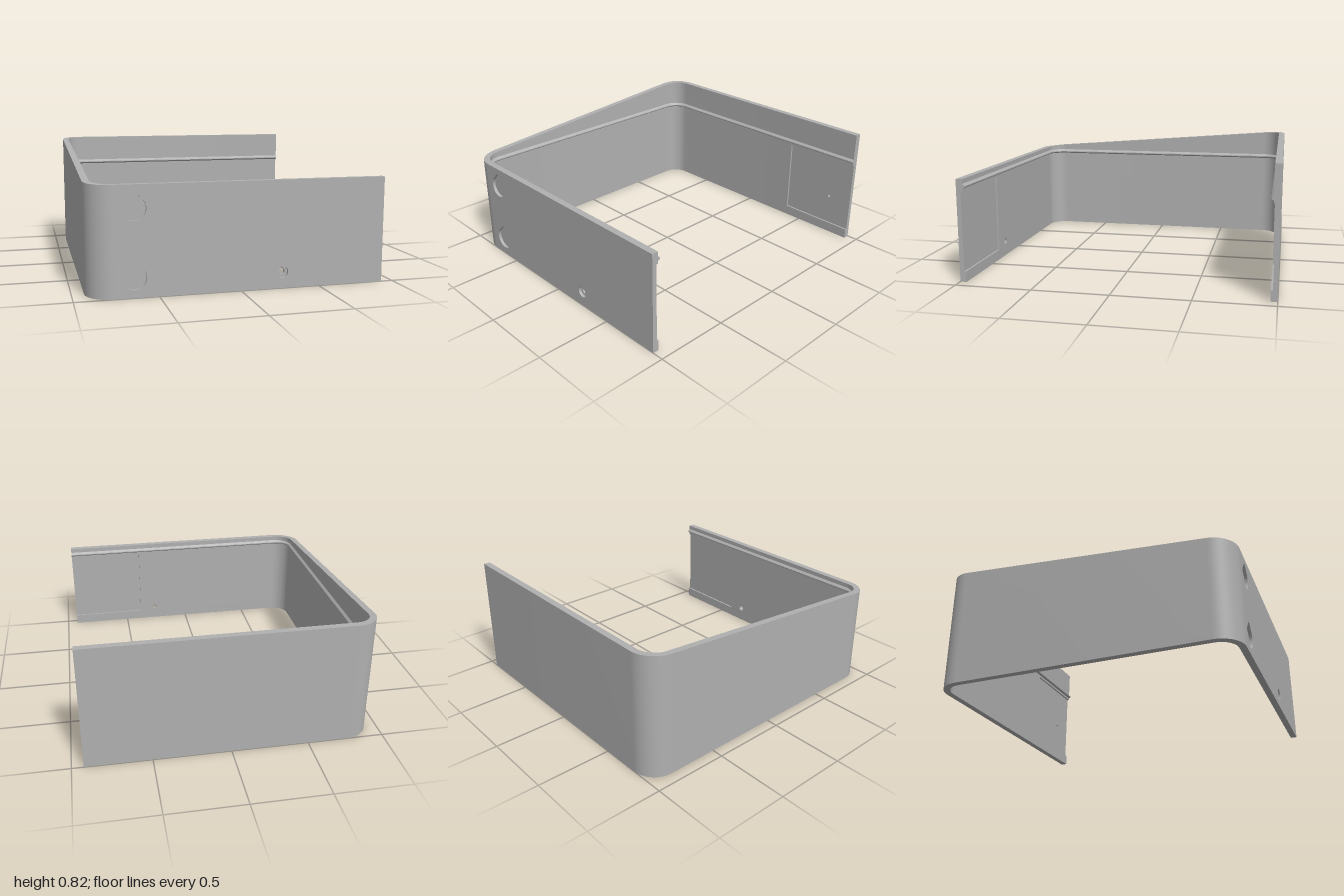
import * as THREE from 'three';
import { toCreasedNormals } from 'three/addons/utils/BufferGeometryUtils.js';

const X = 0.925, Z = 1, R = 0.16;            // half width, half depth, outer corner radius
const T = 0.043, TIP = 0.058, REC = 0.03;    // wall, ridge and recess depths from the outer face
const LOW = 0.667, HIGH = 0.822;             // rim heights at front and back
const PANEL_X = 0.38, PANEL_Y0 = 0.07, PANEL_Y1 = 0.59;

const rimY = (z) => LOW + (HIGH - LOW) * THREE.MathUtils.clamp((0.957 - z) / 1.914, 0, 1);

// Closed wall section as [depth, height]; a height of null means the sloping rim
const section = (r) => [
  [0, 0], [0, null], [T, null], [T, 0.637], [TIP, 0.623], [TIP, 0.616], [T, 0.606],
  [T, PANEL_Y1], [r, PANEL_Y1], [r, PANEL_Y0], [T, PANEL_Y0], [T, 0],
];
const OUTER_EDGE = 0, PANEL_EDGE = 8;

// Skins a grid of points (rows of Vector3), leaving out edges where skip(i, j) is true
function skin(rows, skip = () => false) {
  const pos = [];
  const tri = new THREE.Triangle();
  const add = (a, b, c) => {
    if (tri.set(a, b, c).getArea() > 1e-8) for (const p of [a, b, c]) pos.push(p.x, p.y, p.z);
  };
  for (let i = 0; i + 1 < rows.length; i++) {
    const n = rows[i].length;
    for (let j = 0; j < n; j++) {
      if (skip(i, j)) continue;
      const k = (j + 1) % n;
      add(rows[i][j], rows[i + 1][j], rows[i][k]);
      add(rows[i][k], rows[i + 1][j], rows[i + 1][k]);
    }
  }
  const g = new THREE.BufferGeometry();
  g.setAttribute('position', new THREE.Float32BufferAttribute(pos, 3));
  return toCreasedNormals(g, 0.5);
}

// Plan stations from the back open end, round the closed side, to the front open end
function stations() {
  const list = [];
  const straight = (z, x, r) => list.push({ x, z, nx: 0, nz: -Math.sign(z), r });
  straight(-Z, X, REC);
  straight(-Z, PANEL_X, REC);
  straight(-Z, PANEL_X, T);
  for (const side of [-1, 1]) {
    for (let i = 0; i <= 16; i++) {
      const a = (i / 16) * Math.PI / 2;
      const s = side < 0 ? Math.sin(a) : Math.cos(a);
      const c = side < 0 ? Math.cos(a) : Math.sin(a);
      list.push({ x: -X + R - R * s, z: side * (Z - R + R * c), nx: s, nz: -side * c, r: T });
    }
  }
  straight(Z, PANEL_X, T);
  straight(Z, PANEL_X, REC);
  straight(Z, X, REC);
  return list;
}

// Outline of a drop: a circle with a right-angled point on top
function drop(x, y, r) {
  const pts = [new THREE.Vector2(x, y + r * Math.SQRT2)];
  for (let i = 0; i <= 36; i++) {
    const a = Math.PI * (0.75 + 1.5 * i / 36);
    pts.push(new THREE.Vector2(x + r * Math.cos(a), y + r * Math.sin(a)));
  }
  return pts;
}

function circle(x, y, r) {
  return new THREE.Path().absarc(x, y, r, 0, Math.PI * 2).getPoints(16).slice(0, -1);
}

const rect = (x0, y0, x1, y1) => [[x0, y0], [x1, y0], [x1, y1], [x0, y1]].map((p) => new THREE.Vector2(...p));

// Flat sheet at depth z with openings
function sheet(outline, holes, z) {
  const s = new THREE.Shape(outline);
  s.holes = holes.map((h) => new THREE.Path(h));
  return new THREE.ShapeGeometry(s).translate(0, 0, z);
}

// Side wall of an opening between two depths
const bore = (pts, z0, z1) =>
  skin([z0, z1].map((z) => pts.map((p) => new THREE.Vector3(p.x, p.y, z))));

export function createModel() {
  const group = new THREE.Group();
  const grey = new THREE.MeshStandardMaterial({ color: 0xb0b0b0, side: THREE.DoubleSide });
  grey.name = 'plain grey';
  const add = (name, geometry) => {
    const mesh = new THREE.Mesh(geometry, grey);
    mesh.name = name;
    group.add(mesh);
  };

  // Main wall, with the faces that have openings left out
  const path = stations();
  const rows = path.map((s) => section(s.r).map(([d, y]) => {
    const z = s.z + s.nz * d;
    return new THREE.Vector3(s.x + s.nx * d, y ?? rimY(z), z);
  }));
  const last = path.length - 1;
  add('wall', skin(rows, (i, j) =>
    (j === PANEL_EDGE && (i === 0 || i === last - 3)) || (j === OUTER_EDGE && i >= last - 3)));

  // Open ends of the two side walls
  for (const [name, row] of [['backEnd', rows[0]], ['frontEnd', rows[last]]]) {
    const shape = new THREE.Shape(row.map((p) => new THREE.Vector2(-p.z, p.y)));
    add(name, new THREE.ShapeGeometry(shape).rotateY(Math.PI / 2).translate(X, 0, 0));
  }

  // Front face with two blind drops and a stepped through hole
  const blind = [drop(-0.645, 0.527, 0.072), drop(-0.645, 0.12, 0.072)];
  const wide = drop(0.262, 0.1, 0.036), narrow = drop(0.262, 0.102, 0.02);
  const step = Z - 0.02, inner = Z - T;
  add('frontFace', sheet(rect(-X + R, 0, X, LOW), [...blind, wide], Z));
  for (const pts of blind) {
    add('dropPocketWall', bore(pts, Z, step));
    add('dropPocketFloor', sheet(pts, [], step));
  }
  add('holeRim', bore(wide, Z, step));
  add('holeStep', sheet(wide, [narrow], step));
  add('holeBore', bore(narrow, step, inner));
  add('frontInnerFace', sheet(rect(-X + R, PANEL_Y0, PANEL_X, PANEL_Y1), [narrow], inner));

  // Recessed panel of the back wall with a small dimple
  const dimple = circle(0.75, 0.286, 0.012);
  const panelZ = -Z + REC;
  add('backPanel', sheet(rect(PANEL_X, PANEL_Y0, X, PANEL_Y1), [dimple], panelZ));
  add('dimpleWall', bore(dimple, panelZ, panelZ - 0.015));
  add('dimpleFloor', sheet(dimple, [], panelZ - 0.015));
  return group;
}
